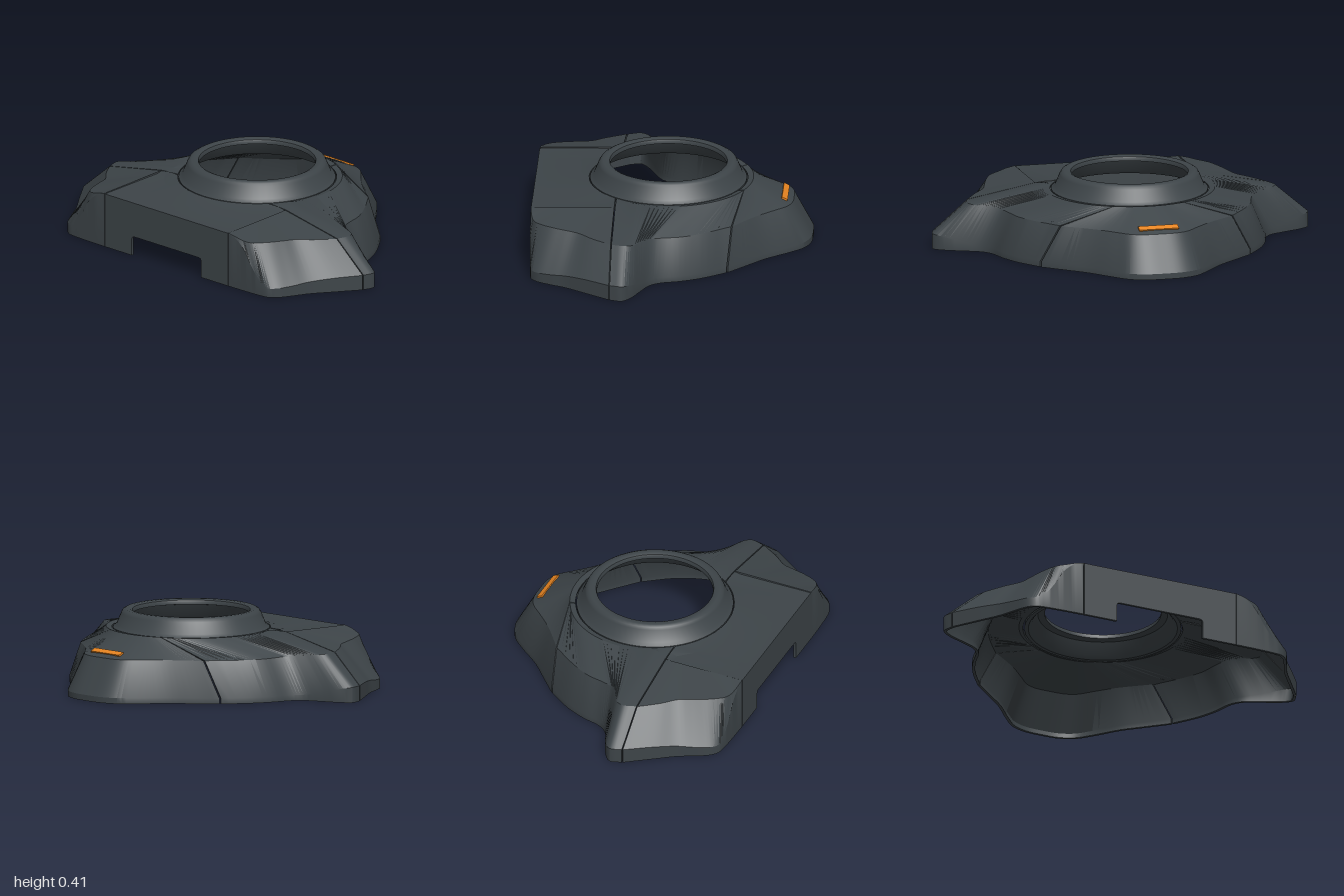
import * as THREE from 'three';
import { toCreasedNormals } from 'three/addons/utils/BufferGeometryUtils.js';

const CZ = 0.03; // z of the ring's centre
const THICK = 0.015;
const V = (x, y, z) => new THREE.Vector3(x, y, z);
const lerp = THREE.MathUtils.lerp;
const polar = (r, a, y) => V(r * Math.sin(a), y, CZ - r * Math.cos(a));

// Mirror a list of columns in x, keeping the surface facing outward
const mirror = (cols) => cols.map((c) => c.map((p) => V(-p.x, p.y, p.z))).reverse();

// Smooth a list of columns lengthwise, one curve per row
function smooth(cols, steps) {
  const curves = cols[0].map((_, j) => new THREE.CatmullRomCurve3(cols.map((c) => c[j])));
  const n = (cols.length - 1) * steps;
  return Array.from({ length: n + 1 }, (_, i) => curves.map((c) => c.getPoint(i / n)));
}

// Closed thin shell from columns of points running from the top edge to the foot
function shell(cols) {
  const C = cols.length, R = cols[0].length, N = C * R;
  const id = (i, j) => i * R + j;
  const pos = cols.flat().flatMap((p) => [p.x, p.y, p.z]);
  const outer = [];
  for (let i = 0; i < C - 1; i++) {
    for (let j = 0; j < R - 1; j++) {
      const a = id(i, j), b = id(i + 1, j), c = id(i, j + 1), d = id(i + 1, j + 1);
      outer.push(a, b, c, b, d, c);
    }
  }
  const skin = new THREE.BufferGeometry();
  skin.setAttribute('position', new THREE.Float32BufferAttribute(pos, 3));
  skin.setIndex(outer);
  skin.computeVertexNormals();
  const nor = skin.attributes.normal;
  // Inner skin, with its foot level with the outer one
  cols.flat().forEach((p, k) => {
    const foot = k % R === R - 1;
    pos.push(
      p.x - THICK * nor.getX(k),
      foot ? p.y : Math.max(p.y - THICK * nor.getY(k), 0),
      p.z - THICK * nor.getZ(k)
    );
  });
  const index = [...outer];
  for (let k = 0; k < outer.length; k += 3) {
    index.push(outer[k] + N, outer[k + 2] + N, outer[k + 1] + N);
  }
  // Edges joining both skins
  const wall = (p, q) => index.push(q, p, p + N, q, p + N, q + N);
  for (let i = 0; i < C - 1; i++) {
    wall(id(i, 0), id(i + 1, 0));
    wall(id(i + 1, R - 1), id(i, R - 1));
  }
  for (let j = 0; j < R - 1; j++) {
    wall(id(C - 1, j), id(C - 1, j + 1));
    wall(id(0, j + 1), id(0, j));
  }
  const geo = new THREE.BufferGeometry();
  geo.setAttribute('position', new THREE.Float32BufferAttribute(pos, 3));
  geo.setIndex(index);
  return toCreasedNormals(geo, 0.45);
}

// Rear panel, half of it: foot x, z, crease x, z
function backColumns() {
  const rows = [
    [0, -0.72, 0, -0.62], [0.1, -0.713, 0.09, -0.615], [0.18, -0.68, 0.15, -0.59],
    [0.25, -0.61, 0.21, -0.53], [0.35, -0.49, 0.29, -0.45], [0.45, -0.4, 0.37, -0.385],
    [0.555, -0.307, 0.455, -0.324],
  ];
  const half = rows.map(([x, z, cx, cz], i) => {
    const a = 0.43 * i / 6;
    return [polar(0.41, a, 0.309), polar(0.44, a, 0.315), V(cx, 0.216, cz), V(x, 0.03, z), V(x, 0, z)];
  });
  return smooth([...mirror(half.slice(1)), ...half], 4);
}

// Side panel up to the pointed arm: foot x, z, crease x, z, crease y, lip y
function sideColumns() {
  const rows = [
    [0.56, -0.3, 0.46, -0.318, 0.217, 0.03], [0.65, -0.17, 0.56, -0.18, 0.216, 0.03],
    [0.7, -0.06, 0.62, -0.07, 0.216, 0.03], [0.73, 0.04, 0.645, 0.02, 0.218, 0.03],
    [0.77, 0.09, 0.67, 0.08, 0.222, 0.03], [0.85, 0.13, 0.73, 0.13, 0.227, 0.045],
    [0.95, 0.175, 0.8, 0.175, 0.233, 0.07], [1, 0.22, 0.82, 0.215, 0.236, 0.08],
    [0.985, 0.283, 0.8, 0.283, 0.235, 0.08],
  ];
  return smooth(rows.map(([x, z, cx, cz, cy, ly], i) => {
    const a = lerp(0.442, 2.232, i / 8);
    const shoulder = i === 8 ? V(0.437, 0.303, 0.283) : polar(0.44, a, 0.314);
    return [polar(0.41, a, 0.309), shoulder, V(cx, cy, cz), V(x, ly, z), V(x, 0, z)];
  }), 4);
}

// Front corner panel: foot x, z, lip y, crease x, z, crease y
function wingColumns() {
  const rows = [
    [0.983, 0.288, 0.08, 0.8, 0.288, 0.235], [0.89, 0.42, 0.075, 0.73, 0.39, 0.24],
    [0.82, 0.52, 0.065, 0.67, 0.46, 0.245], [0.78, 0.6, 0.055, 0.645, 0.53, 0.25],
    [0.74, 0.67, 0.05, 0.62, 0.6, 0.255], [0.7, 0.703, 0.05, 0.59, 0.66, 0.26],
    [0.65, 0.711, 0.08, 0.57, 0.685, 0.262], [0.6, 0.714, 0.14, 0.55, 0.698, 0.265],
    [0.55, 0.716, 0.22, 0.525, 0.706, 0.27], [0.5, 0.717, 0.265, 0.49, 0.713, 0.28],
    [0.437, 0.718, 0.29, 0.437, 0.717, 0.2915],
  ];
  return smooth(rows.map(([x, z, ly, cx, cz, cy], i) => {
    const inner = V(0.437, lerp(0.302, 0.292, i / 10), lerp(0.288, 0.715, i / 10));
    const crease = V(cx, cy, cz);
    return [inner, inner.clone().lerp(crease, 0.5), crease, V(x, ly, z), V(x, 0, z)];
  }), 4);
}

// Front panel with a notch in its foot: x, foot y
function frontColumns() {
  const half = [[0.433, 0], [0.38, 0], [0.32, 0], [0.28, 0], [0.245, 0], [0.245, 0.09],
    [0.24, 0.101], [0.225, 0.105], [0.17, 0.105], [0.12, 0.105], [0.06, 0.105], [0, 0.105]];
  const cols = half.map(([x, foot]) => {
    const arc = (r) => CZ + Math.sqrt(Math.max(r * r - x * x, 0));
    const z0 = Math.max(0.288, arc(0.41));
    const y0 = x > 0.4 ? 0.302 : 0.309;
    return [V(x, y0, z0), V(x, 0.295, Math.max(z0 + 0.03, arc(0.48))),
      V(x, 0.29, 0.718), V(x, foot, 0.718)];
  });
  return [...cols, ...mirror(cols.slice(0, -1))];
}

export function createModel() {
  const model = new THREE.Group();
  const body = new THREE.MeshStandardMaterial({ color: 0x3d4448 });
  body.name = 'charcoal';
  const accent = new THREE.MeshStandardMaterial({ color: 0xe58320 });
  accent.name = 'orange';
  const add = (name, geo, mat) => {
    const mesh = new THREE.Mesh(geo, mat);
    mesh.name = name;
    model.add(mesh);
    return mesh;
  };

  // Shell panels, separated by narrow seams
  add('backPanel', shell(backColumns()), body);
  add('frontPanel', shell(frontColumns()), body);
  const side = sideColumns(), wing = wingColumns();
  add('leftSidePanel', shell(side), body);
  add('rightSidePanel', shell(mirror(side)), body);
  add('leftFrontCorner', shell(wing), body);
  add('rightFrontCorner', shell(mirror(wing)), body);

  // Raised hollow ring around the opening
  const profile = [[0.405, 0.293], [0.405, 0.31], [0.386, 0.325], [0.361, 0.385], [0.353, 0.398],
    [0.338, 0.406], [0.318, 0.406], [0.304, 0.4], [0.3, 0.39], [0.3, 0.378], [0.335, 0.372],
    [0.368, 0.312], [0.385, 0.293], [0.405, 0.293]].map(([r, y]) => new THREE.Vector2(r, y));
  const ring = add('collar', toCreasedNormals(new THREE.LatheGeometry(profile, 72), 0.6), body);
  ring.position.z = CZ;

  // Thin marker strip on the rear slope
  const strip = add('markerStrip', new THREE.BoxGeometry(0.21, 0.009, 0.032), accent);
  strip.position.set(0, 0.239, -0.575);
  strip.rotation.x = -0.44;

  return model;
}
